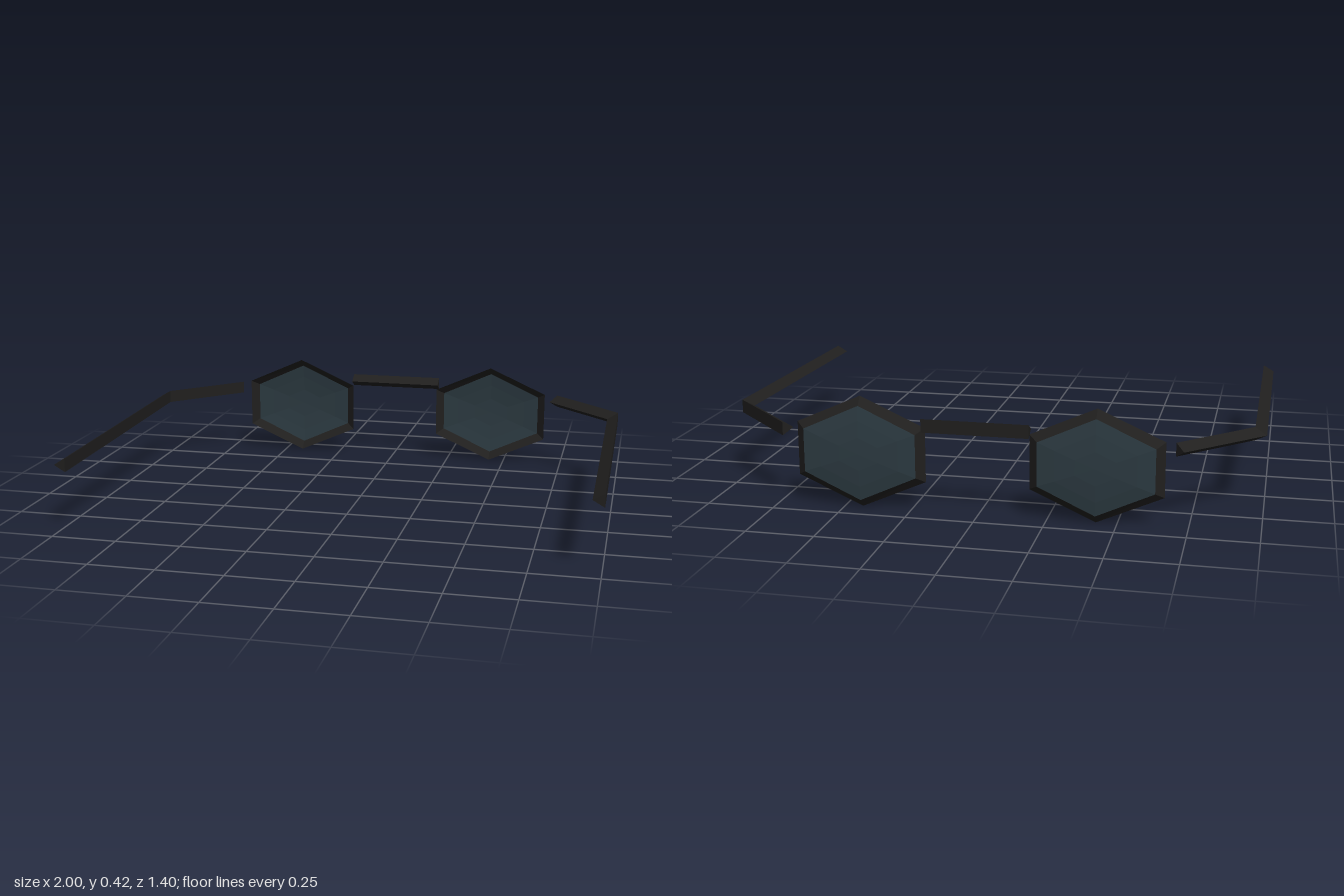
import * as THREE from 'three';

const frameMat = new THREE.MeshStandardMaterial({ name: 'black frame', color: 0x201f1e, side: THREE.DoubleSide });
const lensMat = new THREE.MeshStandardMaterial({ name: 'dark glass', color: 0x2c3a41, side: THREE.DoubleSide });

// Flat-shaded surface joining equal closed loops of [x, y, z] points
function loft(loops, caps = false) {
  const pos = [];
  const tri = (a, b, c) => pos.push(...a, ...b, ...c);
  const n = loops[0].length;
  for (let i = 0; i + 1 < loops.length; i++) {
    for (let j = 0; j < n; j++) {
      const k = (j + 1) % n;
      const [a, b, c, d] = [loops[i][j], loops[i][k], loops[i + 1][k], loops[i + 1][j]];
      tri(a, b, c);
      tri(a, c, d);
    }
  }
  if (caps) {
    const first = loops[0], last = loops[loops.length - 1];
    tri(first[2], first[1], first[0]);
    tri(last[0], last[1], last[2]);
  }
  const geo = new THREE.BufferGeometry();
  geo.setAttribute('position', new THREE.Float32BufferAttribute(pos, 3));
  geo.computeVertexNormals();
  return geo;
}

// Upright hexagon: half width, half height of the sides, half height of the points
const hexagon = (w, s, h, z) =>
  [[0, h, z], [w, s, z], [w, -s, z], [0, -h, z], [-w, -s, z], [-w, s, z]];

// Triangular section: a vertical flat edge and a ridge on the other side
const section = (flat, ridge, y, r = 0.025) =>
  [[flat[0], y + r, flat[1]], [ridge[0], y, ridge[1]], [flat[0], y - r, flat[1]]];

function addMesh(parent, name, geo, mat) {
  const mesh = new THREE.Mesh(geo, mat);
  mesh.name = name;
  parent.add(mesh);
  return mesh;
}

export function createModel() {
  const group = new THREE.Group();
  group.name = 'glasses';

  // Lenses: bevelled shell rim around a shallow dome bulging to -z
  const rim = loft([hexagon(0.24, 0.101, 0.208, -0.66), hexagon(0.209, 0.081, 0.177, -0.687)]);
  const dome = loft([[1, -0.687], [0.7, -0.694], [0.35, -0.699], [0, -0.7]].map(
    ([k, z]) => hexagon(0.209 * k, 0.081 * k, 0.177 * k, z)));
  for (const [side, x] of [['left', 0.435], ['right', -0.425]]) {
    const eye = new THREE.Group();
    eye.name = side + 'Eyepiece';
    eye.position.set(x, 0.2125, 0);
    addMesh(eye, side + 'Rim', rim, frameMat);
    addMesh(eye, side + 'Lens', dome, lensMat);
    group.add(eye);
  }

  // Bridge between the rims
  addMesh(group, 'bridge', loft([-0.19, 0.2].map(
    x => section([x, -0.7], [x, -0.657], 0.333)), true), frameMat);

  // Temples: straight arm, elbow, then a short arm angled in towards the rim
  const outer = [[1, 0.7], [1, -0.404], [0.728, -0.676]];
  const inner = [[0.957, 0.7], [0.957, -0.386], [0.698, -0.646]];
  const heights = [0.265, 0.285, 0.285];
  const mirror = ([x, z]) => [-x, z];
  addMesh(group, 'leftTemple', loft(heights.map(
    (y, i) => section(outer[i], inner[i], y)), true), frameMat);
  addMesh(group, 'rightTemple', loft(heights.map(
    (y, i) => section(mirror(inner[i]), mirror(outer[i]), y)), true), frameMat);

  return group;
}
